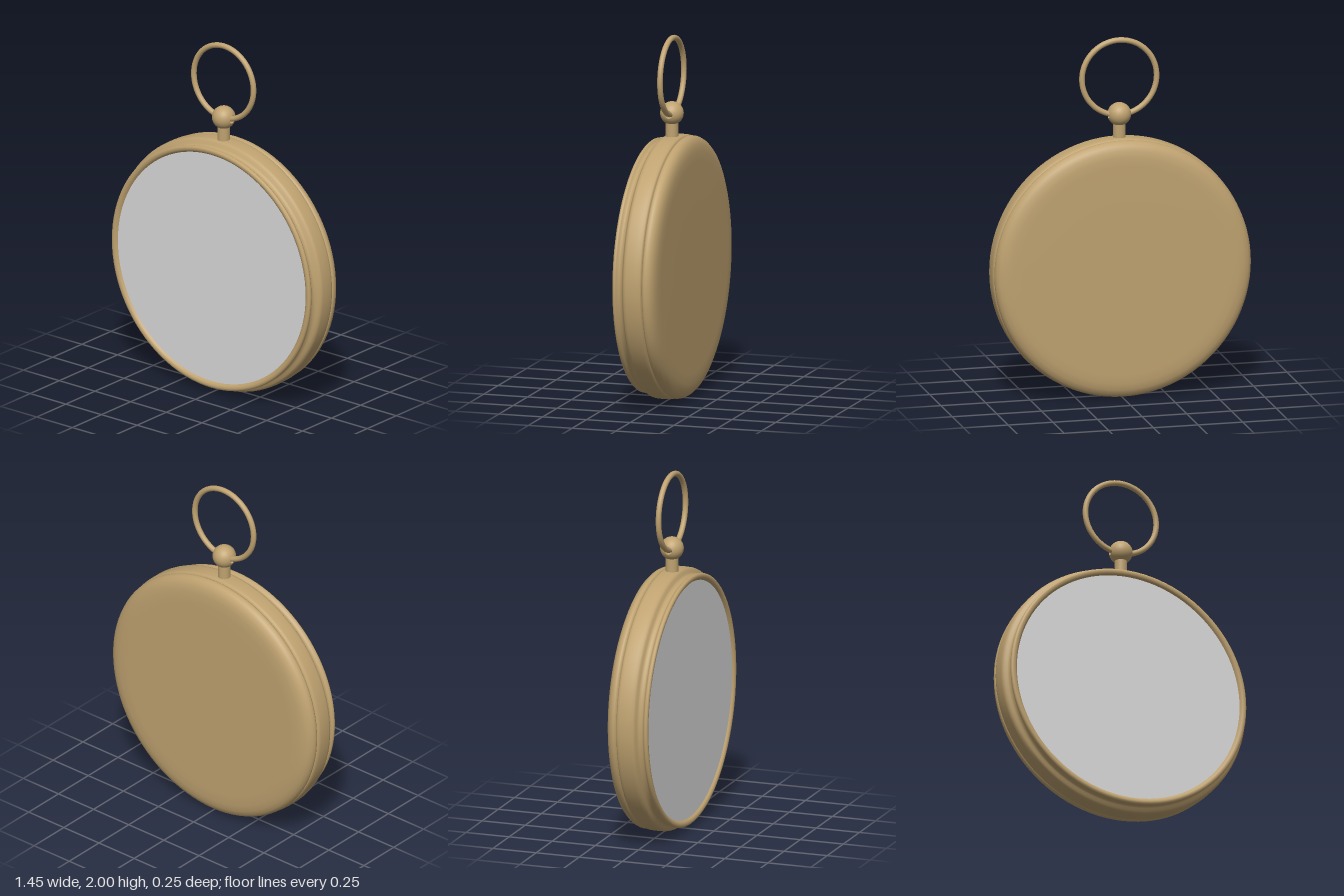
import * as THREE from 'three';

const CASE_Y = 0.7225, AXIS_Z = 0.007;

export function createModel() {
  const brass = new THREE.MeshStandardMaterial({ color: 0xbfa270 });
  brass.name = 'brass';
  const glass = new THREE.MeshStandardMaterial({ color: 0xdadada });
  glass.name = 'paleGlass';

  const model = new THREE.Group();
  model.name = 'pocketWatch';

  function add(name, geometry, material, x, y, z, parent = model) {
    const mesh = new THREE.Mesh(geometry, material);
    mesh.name = name;
    mesh.position.set(x, y, z);
    parent.add(mesh);
    return mesh;
  }
  const lathe = (profile, segments) =>
    new THREE.LatheGeometry(profile.map(([r, h]) => new THREE.Vector2(r, h)), segments);
  // Case parts turn around the front-to-back axis: profile is [radius, z]
  const turned = (name, profile) =>
    add(name, lathe(profile, 96).rotateX(Math.PI / 2), brass, 0, CASE_Y, 0);

  // Back cover: flat disc rolling over a soft shoulder into a seam
  turned('backCover', [
    [0, -0.1235], [0.3, -0.1235], [0.58, -0.1235], [0.635, -0.121], [0.67, -0.115],
    [0.695, -0.104], [0.709, -0.09], [0.716, -0.075], [0.717, -0.063], [0.713, -0.055], [0.705, -0.051],
  ]);

  // Middle band, tucking into the waist behind the bezel
  turned('caseBand', [
    [0.703, -0.051], [0.712, -0.049], [0.718, -0.043], [0.7215, -0.03], [0.7225, 0], [0.7215, 0.035],
    [0.718, 0.049], [0.708, 0.058], [0.695, 0.063], [0.687, 0.07], [0.684, 0.08],
  ]);

  // Bezel: waist, rounded lip and inner slope down to the glass
  turned('bezel', [
    [0.684, 0.078], [0.682, 0.088], [0.684, 0.096], [0.692, 0.101], [0.696, 0.108],
    [0.695, 0.116], [0.689, 0.122], [0.681, 0.1235], [0.672, 0.122], [0.664, 0.117], [0.656, 0.106],
  ]);

  // Flat crystal
  add('crystal', new THREE.CircleGeometry(0.659, 96), glass, 0, CASE_Y, 0.109);

  // Stem
  add('stem', new THREE.CylinderGeometry(0.035, 0.035, 0.1, 32), brass, 0, 1.475, AXIS_Z);

  // Crown ball, drilled sideways for the ring
  const crown = new THREE.Group();
  crown.name = 'crown';
  crown.position.set(0, 1.571, AXIS_Z);
  model.add(crown);
  const R = 0.0645, hole = 0.022, half = Math.sqrt(R * R - hole * hole);
  const limit = Math.asin(half / R), arc = [];
  for (let i = 0; i <= 20; i++) {
    const a = -limit + (2 * limit * i) / 20;
    arc.push([R * Math.cos(a), R * Math.sin(a)]);
  }
  add('crownBall', lathe(arc, 40).rotateZ(Math.PI / 2), brass, 0, 0, 0, crown);
  add('crownHole', lathe([[hole, half], [hole, -half]], 40).rotateZ(Math.PI / 2), brass, 0, 0, 0, crown);

  // Hanging ring
  add('bow', new THREE.TorusGeometry(0.209, 0.0155, 16, 72), brass, 0, 1.7755, AXIS_Z);

  return model;
}
